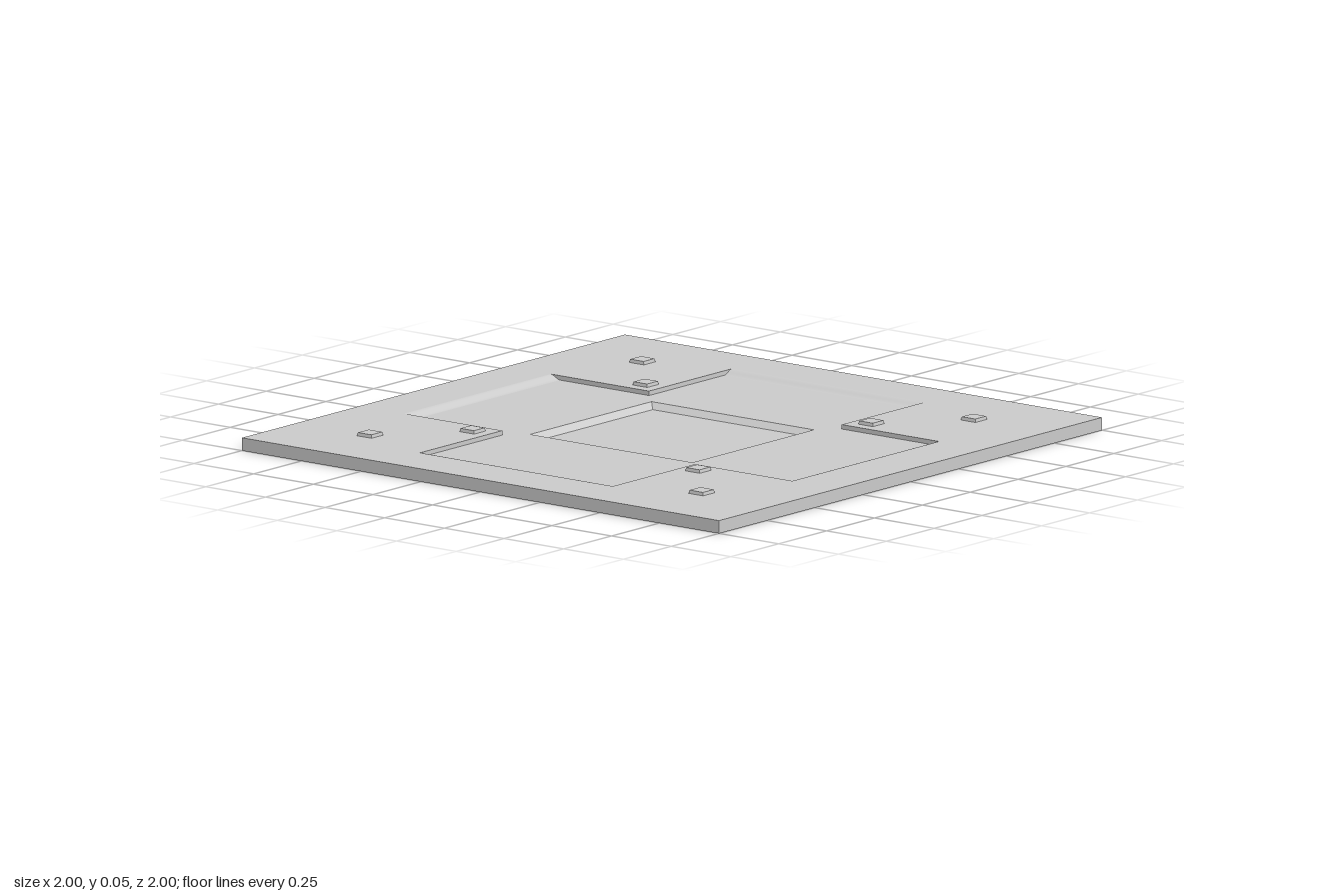
import * as THREE from 'three';

const TOP = 0.043, FLOOR = 0.028, PIT = 0.008;
const flat = new THREE.MeshStandardMaterial({ color: 0xcccccc, flatShading: true, side: THREE.DoubleSide });
const smooth = new THREE.MeshStandardMaterial({ color: 0xcccccc, side: THREE.DoubleSide });

// Surface spanned between two polylines with equal point counts
function strip(a, b) {
  const geo = new THREE.BufferGeometry(), n = a.length, index = [];
  geo.setAttribute('position', new THREE.Float32BufferAttribute([...a, ...b].flat(), 3));
  for (let i = 0; i < n - 1; i++) index.push(i, n + i, n + i + 1, i, n + i + 1, i + 1);
  geo.setIndex(index);
  geo.computeVertexNormals();
  return geo;
}

// Closed rectangular ring at height y
const ring = (w, d, y) => [[w, y, d], [-w, y, d], [-w, y, -d], [w, y, -d], [w, y, d]];

const rectPoints = (w, d) =>
  [[-w, -d], [w, -d], [w, d], [-w, d]].map(p => new THREE.Vector2(...p));

// Plus-shaped outline: arms of half widths w (along z) and d (along x), reaching r
const crossPoints = (w, d, r) => [
  [-w, -r], [w, -r], [w, -d], [r, -d], [r, d], [w, d],
  [w, r], [-w, r], [-w, d], [-r, d], [-r, -d], [-w, -d],
].map(p => new THREE.Vector2(...p));

// Horizontal face with an optional hole
function sheet(points, y, hole) {
  const shape = new THREE.Shape(points);
  if (hole) shape.holes.push(new THREE.Path(hole));
  return new THREE.ShapeGeometry(shape).rotateX(-Math.PI / 2).translate(0, y, 0);
}

export function createModel() {
  const model = new THREE.Group();
  const add = (name, geo, mat = flat, parent = model) => {
    const mesh = new THREE.Mesh(geo, mat);
    mesh.name = name;
    parent.add(mesh);
    return mesh;
  };

  const W = 0.404, D = 0.383, REACH = 0.815, RAMP_END = 0.777;

  // Slab
  add('slabSides', strip(ring(1, 1, 0), ring(1, 1, TOP)));
  add('slabBottom', sheet(rectPoints(1, 1), 0).scale(1, -1, 1).rotateX(Math.PI));
  add('slabTop', sheet(rectPoints(1, 1), TOP, crossPoints(W, D, REACH)));

  // Sunken cross and the square pit in its middle
  add('recessFloor', sheet(crossPoints(W, D, RAMP_END), FLOOR, rectPoints(0.34, 0.317)));
  add('pitWalls', strip(ring(0.34, 0.317, FLOOR), ring(0.318, 0.295, PIT)));
  add('pitFloor', sheet(rectPoints(0.318, 0.295), PIT));

  // Four arms: softly curved end ramp plus two upright side walls
  const profile = [];
  for (let i = 0; i <= 6; i++) {
    const t = i / 6, s = t * t * (3 - 2 * t);
    profile.push([TOP + (FLOOR - TOP) * s, REACH + (RAMP_END - REACH) * t]);
  }
  for (let k = 0; k < 4; k++) {
    const w = k % 2 ? D : W, inner = k % 2 ? W : D;
    const arm = new THREE.Group();
    arm.name = 'recessArm' + (k + 1);
    arm.rotation.y = k * Math.PI / 2;
    model.add(arm);
    const along = x => profile.map(([y, z]) => [x, y, z]);
    add('ramp', strip(along(-w), along(w)), smooth, arm);
    for (const s of [-1, 1]) {
      const low = [...along(s * w), [s * w, FLOOR, inner]];
      const high = low.map(([x, , z]) => [x, TOP, z]);
      add('sideWall', s > 0 ? strip(low, high) : strip(high, low), flat, arm);
    }
  }

  // Small square studs, two at each corner
  for (const sx of [-1, 1]) for (const sz of [-1, 1])
    for (const [x, z] of [[0.695, 0.711], [0.473, 0.452]]) {
      const stud = new THREE.BoxGeometry(0.061, 0.012, 0.061);
      const p = stud.attributes.position;
      for (let i = 0; i < p.count; i++)
        if (p.getY(i) > 0) p.setXYZ(i, p.getX(i) * 0.93, p.getY(i), p.getZ(i) * 0.93);
      add('stud', stud).position.set(sx * x, TOP + 0.005, sz * z);
    }

  return model;
}
